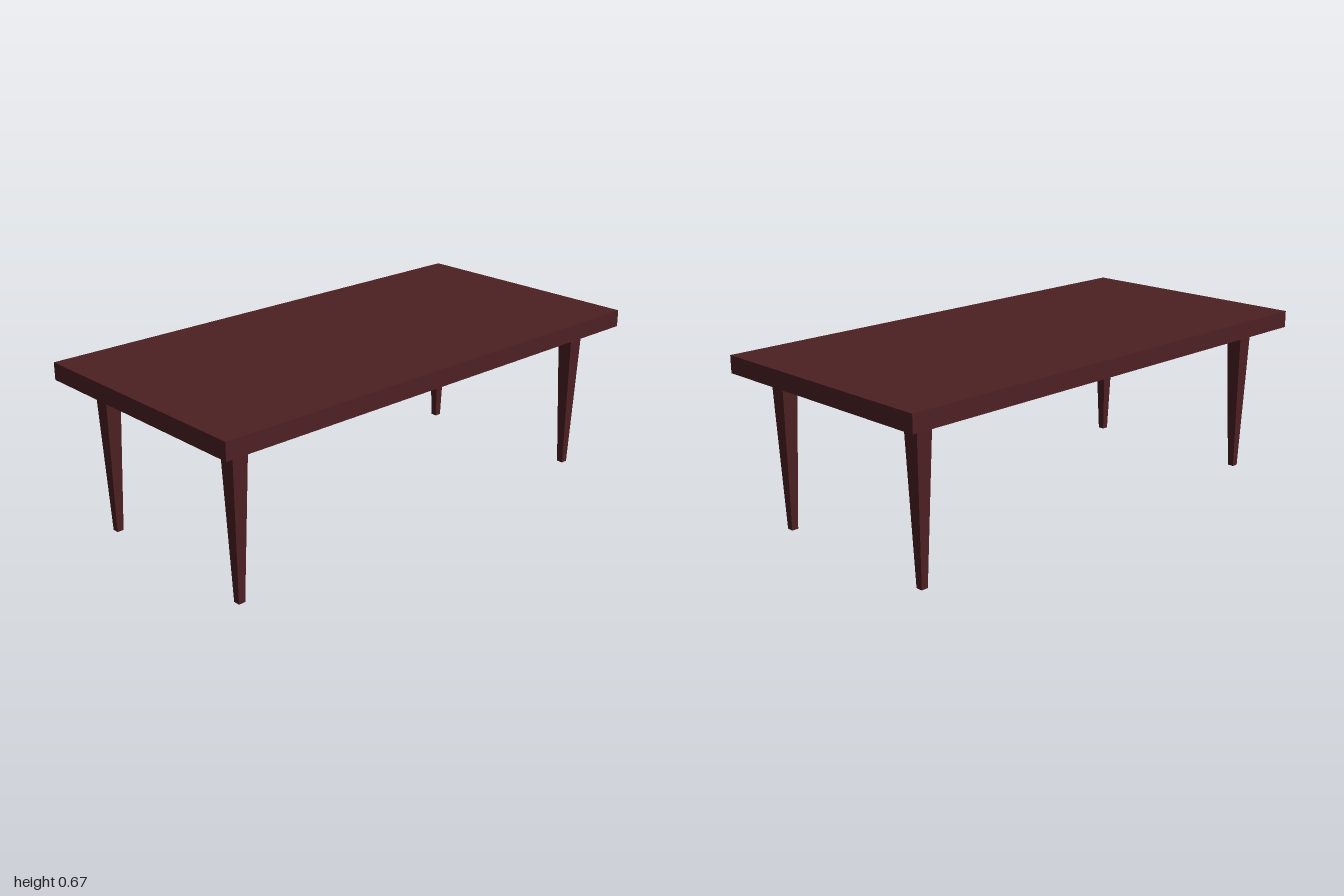
import * as THREE from 'three';

export function createModel() {
  const table = new THREE.Group();
  table.name = 'table';
  const wood = new THREE.MeshStandardMaterial({ color: 0x4d2022, flatShading: true });
  wood.name = 'dark red wood';

  const legHeight = 0.6;
  const topThickness = 0.067;

  // Slab top
  const top = new THREE.Mesh(new THREE.BoxGeometry(2, topThickness, 1), wood);
  top.name = 'tableTop';
  top.position.y = legHeight + topThickness / 2;
  table.add(top);

  // Square legs tapering to the floor: four-sided cylinder turned to face the axes
  const legGeometry = new THREE.CylinderGeometry(0.0667 * Math.SQRT1_2, 0.0267 * Math.SQRT1_2, legHeight, 4)
    .rotateY(Math.PI / 4)
    .translate(0, legHeight / 2, 0);
  for (const [x, sideName] of [[0.867, 'Left'], [-0.867, 'Right']]) {
    for (const [z, endName] of [[0.367, 'front'], [-0.367, 'back']]) {
      const leg = new THREE.Mesh(legGeometry, wood);
      leg.name = `${endName}${sideName}Leg`;
      leg.position.set(x, 0, z);
      table.add(leg);
    }
  }
  return table;
}
